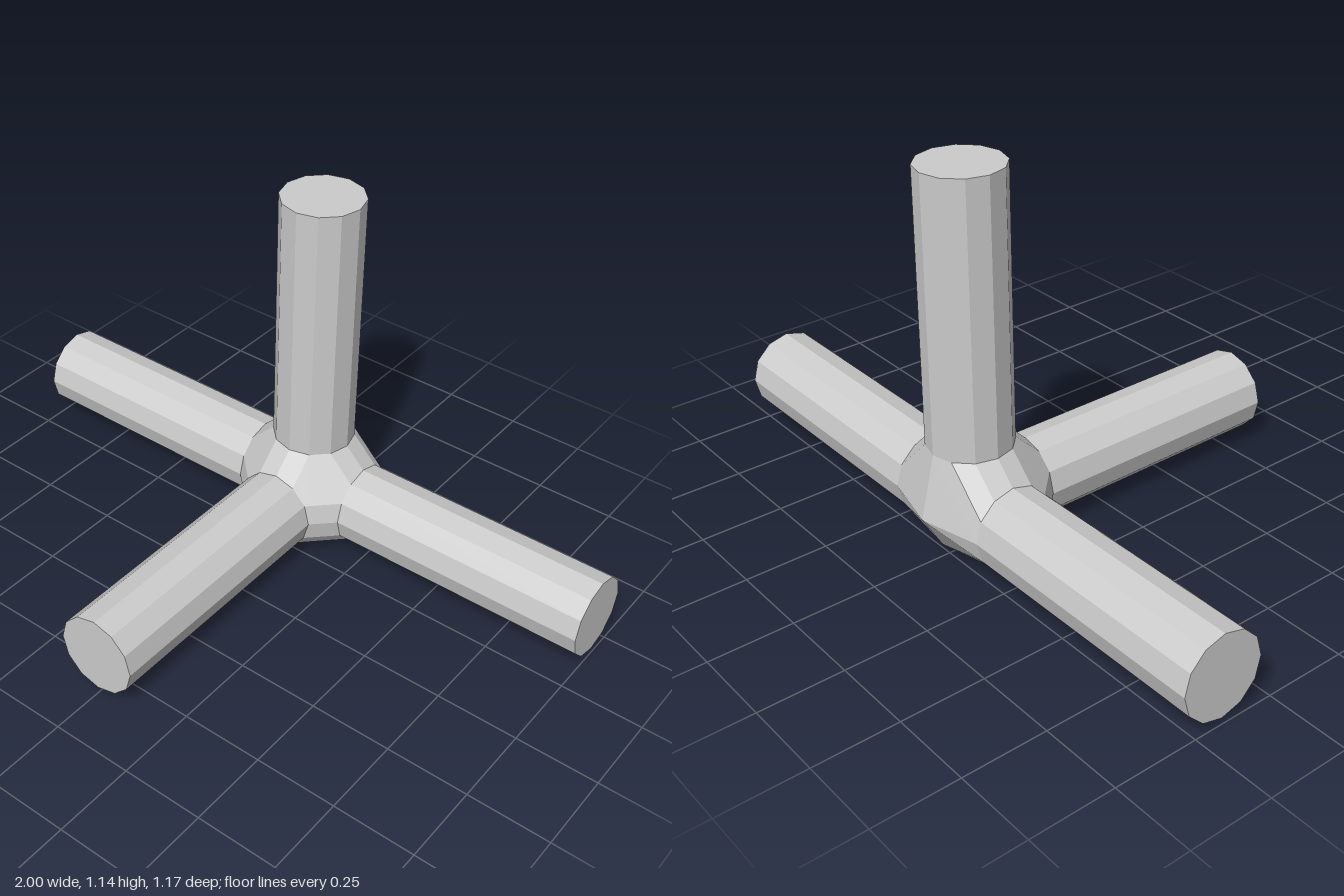
import * as THREE from 'three';
import { ConvexGeometry } from 'three/addons/geometries/ConvexGeometry.js';

const SIDES = 12;
const PIPE_R = 0.125; // pipe radius
const COLLAR = 0.188; // distance from hub centre to where a pipe begins
const REACH = 1; // distance from hub centre to a pipe end
const CORE_R = 0.17; // radius of the hub's faceted core

export function createModel() {
  const model = new THREE.Group();
  model.name = 'fourWayPipeJoint';
  const material = new THREE.MeshStandardMaterial({ color: 0xcccccc, flatShading: true });

  const joint = new THREE.Group();
  joint.name = 'joint';
  joint.position.set(0, 0.145, -0.415);
  model.add(joint);

  const up = new THREE.Vector3(0, 1, 0);
  const arms = {
    leftPipe: new THREE.Vector3(1, 0, 0),
    rightPipe: new THREE.Vector3(-1, 0, 0),
    frontPipe: new THREE.Vector3(0, 0, 1),
    uprightPipe: up,
  };
  const hubPoints = [];

  for (const [name, dir] of Object.entries(arms)) {
    const turn = new THREE.Quaternion().setFromUnitVectors(up, dir);

    // Straight twelve-sided pipe
    const pipe = new THREE.Mesh(
      new THREE.CylinderGeometry(PIPE_R, PIPE_R, REACH - COLLAR, SIDES), material);
    pipe.name = name;
    pipe.quaternion.copy(turn);
    pipe.position.copy(dir).multiplyScalar((REACH + COLLAR) / 2);
    joint.add(pipe);

    // Collar ring where the hub meets the pipe
    for (let i = 0; i < SIDES; i++) {
      const a = (i / SIDES) * Math.PI * 2;
      hubPoints.push(new THREE.Vector3(PIPE_R * Math.sin(a), COLLAR, PIPE_R * Math.cos(a))
        .applyQuaternion(turn));
    }
  }

  // Icosahedral core with its poles on z: fills out the back and underside
  for (const s of [1, -1]) {
    hubPoints.push(new THREE.Vector3(0, 0, s * CORE_R));
    for (let i = 0; i < 5; i++) {
      const a = (i / 5) * Math.PI * 2;
      const r = CORE_R * 2 / Math.sqrt(5);
      hubPoints.push(new THREE.Vector3(
        s * r * -Math.cos(a), r * Math.sin(a), s * CORE_R / Math.sqrt(5)));
    }
  }
  // Keep the core's lower edge leaning the same way on both rings
  const hub = new THREE.Mesh(new ConvexGeometry(hubPoints), material);
  hub.name = 'hub';
  joint.add(hub);

  return model;
}
